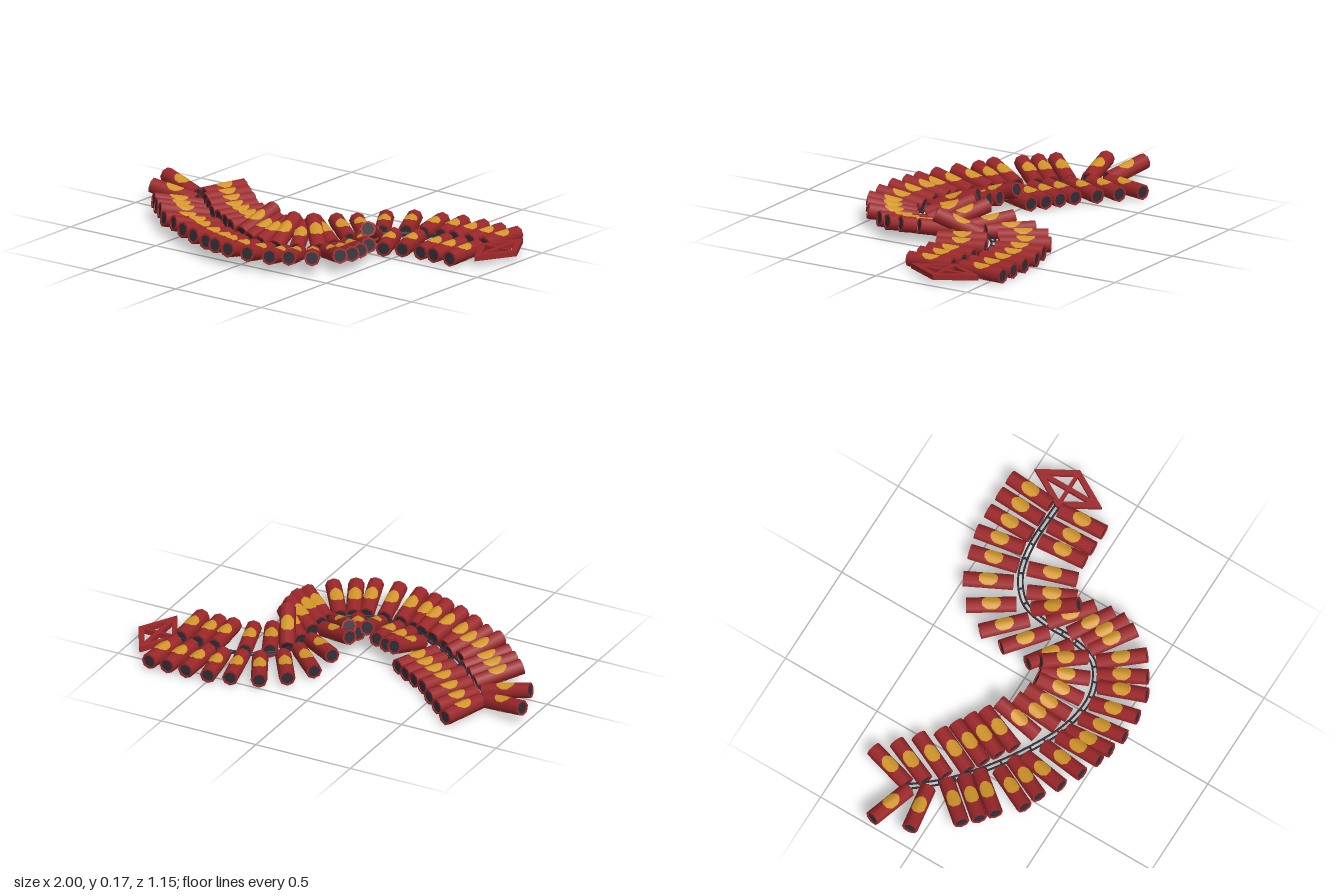
import * as THREE from 'three';

const LENGTH = 0.235, RADIUS = 0.0385, CORE = 0.029, RECESS = 0.005, CORD_Y = 0.042;

const mat = (name, color, extra = {}) => {
  const m = new THREE.MeshStandardMaterial({ color, ...extra });
  m.name = name;
  return m;
};

// Eight-sided paper tube along z with recessed ends (doubled points keep the rims crisp)
function tubeGeometry() {
  const h = LENGTH / 2;
  const profile = [
    [CORE, RECESS - h], [CORE, -h], [CORE, -h], [RADIUS, -h], [RADIUS, -h],
    [RADIUS, h], [RADIUS, h], [CORE, h], [CORE, h], [CORE, h - RECESS],
  ].map(p => new THREE.Vector2(...p));
  return new THREE.LatheGeometry(profile, 8).rotateX(Math.PI / 2);
}

// Rounded gold patch folded over the upper faces of the tube
function patchGeometry() {
  const r = RADIUS + 0.0015, corner = r * Math.SQRT1_2, slope = Math.tan(Math.PI / 8);
  const columns = [[-0.031, 0.03], [-corner, 0.052], [-0.015, 0.084], [0, 0.09], [0.015, 0.084], [corner, 0.052], [0.031, 0.03]];
  const g = new THREE.PlaneGeometry(1, 1, 6, 1).rotateX(-Math.PI / 2);
  const p = g.attributes.position;
  for (let i = 0; i < p.count; i++) {
    const [x, len] = columns[i % 7];
    const y = Math.min(r - Math.abs(x) * slope, corner - (Math.abs(x) - corner) / slope);
    p.setXYZ(i, x, y, Math.sign(p.getZ(i)) * len / 2);
  }
  g.computeVertexNormals();
  return g;
}

// Runs of crackers: [outer end x, outer end z, heading in degrees (0 = front), outer end height]
const runs = {
  backRight: [
    [0.798, -0.572, 176], [0.704, -0.572, 178], [0.605, -0.572, 180], [0.49, -0.566, 190], [0.387, -0.539, 194],
    [0.257, -0.495, 207], [0.151, -0.414, 213], [0.075, -0.292, 226], [0.051, -0.161, 233, 0.07],
  ],
  innerBend: [
    [0.04, -0.01, 240, 0.1], [0.07, 0.04, 225, 0.125], [0.035, 0.06, 208, 0.09], [-0.01, 0.07, 192, 0.125],
    [-0.07, 0.05, 182, 0.09], [-0.13, 0.03, 178, 0.085], [-0.2, -0.02, 174, 0.115],
  ],
  backLeft: [
    [-0.245, -0.07, 158], [-0.307, -0.113, 157], [-0.372, -0.15, 156],
    [-0.44, -0.19, 155], [-0.515, -0.265, 155], [-0.595, -0.335, 157], [-0.68, -0.41, 164],
  ],
  tail: [[-0.99, -0.225, -105, 0.085], [-0.94, -0.05, -80, 0.085]],
  frontLeft: [
    [-0.79, 0.14, -41, 0.085], [-0.73, 0.2, -41, 0.085], [-0.67, 0.25, -40, 0.085], [-0.57, 0.35, -28, 0.085],
    [-0.49, 0.38, -27, 0.085], [-0.39, 0.44, -12, 0.085], [-0.29, 0.49, -10, 0.085], [-0.19, 0.525, -4, 0.085],
  ],
  outerBend: [
    [-0.12, 0.545, 2, 0.085], [-0.03, 0.565, 3, 0.085], [0.085, 0.565, 10, 0.085], [0.2, 0.545, 17, 0.085],
    [0.28, 0.5, 25, 0.085], [0.37, 0.44, 36, 0.085], [0.45, 0.33, 53, 0.085], [0.475, 0.27, 58, 0.085],
    [0.47, 0.2, 55, 0.085], [0.45, 0.11, 48, 0.085], [0.4, 0.05, 28, 0.14],
  ],
  frontRight: [[0.455, 0.005, 25], [0.53, -0.04, 18], [0.625, -0.055, 5], [0.70, -0.055, 2], [0.795, -0.055, 3]],
};

export function createModel() {
  const model = new THREE.Group();
  model.name = 'firecrackerString';
  const red = mat('red paper', 0x9c272a);
  const gold = mat('gold patch', 0xd2962a, { side: THREE.DoubleSide });
  const dark = mat('dark fuse', 0x2e2d36);

  // Firecrackers: inner end at the cord, outer end raised
  const tube = tubeGeometry(), patch = patchGeometry(), core = new THREE.CircleGeometry(CORE, 8);
  for (const [runName, run] of Object.entries(runs)) {
    const group = new THREE.Group();
    group.name = runName + 'Crackers';
    for (const [x, z, deg, y = CORD_Y] of run) {
      const a = deg * Math.PI / 180, pitch = Math.asin((y - CORD_Y) / LENGTH);
      const dir = new THREE.Vector3(Math.sin(a) * Math.cos(pitch), Math.sin(pitch), Math.cos(a) * Math.cos(pitch));
      const cracker = new THREE.Group();
      cracker.name = 'cracker';
      const outer = new THREE.Vector3(x, y, z);
      cracker.position.copy(outer).addScaledVector(dir, -LENGTH / 2);
      cracker.lookAt(outer);
      const body = new THREE.Mesh(tube, red);
      body.name = 'paperTube';
      cracker.add(body);
      for (const side of [0, 1]) {
        // Gold patch above and below, dark plug in each end
        const label = new THREE.Mesh(patch, gold);
        label.name = 'goldPatch';
        label.rotation.z = side * Math.PI;
        const plug = new THREE.Mesh(core, dark);
        plug.name = 'endPlug';
        plug.rotation.y = side * Math.PI;
        plug.position.z = (1 - 2 * side) * (LENGTH / 2 - RECESS);
        cracker.add(label, plug);
      }
      group.add(cracker);
    }
    model.add(group);
  }

  // Double fuse cord with short cross ties
  const path = new THREE.CatmullRomCurve3([
    [0.8, -0.31], [0.55, -0.31], [0.4, -0.27], [0.3, -0.18], [0.27, -0.05], [0.265, 0.1], [0.22, 0.24],
    [0.08, 0.315], [-0.1, 0.3], [-0.3, 0.21], [-0.5, 0.08], [-0.65, -0.05], [-0.76, -0.18],
  ].map(([x, z]) => new THREE.Vector3(x, CORD_Y, z)));
  const offset = (t, d) => {
    const n = path.getTangentAt(t);
    return path.getPointAt(t).add(new THREE.Vector3(-n.z * d, 0, n.x * d));
  };
  for (const d of [-0.011, 0.011]) {
    const points = Array.from({ length: 41 }, (_, i) => offset(i / 40, d));
    const strand = new THREE.Mesh(new THREE.TubeGeometry(new THREE.CatmullRomCurve3(points), 120, 0.005, 6), dark);
    strand.name = 'fuseStrand';
    model.add(strand);
  }
  for (let i = 0; i <= 28; i++) {
    const tie = new THREE.Mesh(new THREE.BoxGeometry(0.008, 0.008, 0.024), dark);
    tie.name = 'fuseTie';
    tie.position.copy(path.getPointAt(i / 28));
    tie.lookAt(offset(i / 28, 0.1));
    model.add(tie);
  }

  // Diamond handle with a cross inside
  const W = 0.105, H = 0.185;
  const diamond = new THREE.Shape([[W, 0], [0, H], [-W, 0], [0, -H]].map(p => new THREE.Vector2(...p)));
  for (const sx of [-1, 1]) for (const sy of [-1, 1]) {
    diamond.holes.push(new THREE.Path([[0.011, 0.008], [0.07, 0.008], [0.011, 0.112]]
      .map(([x, y]) => new THREE.Vector2(sx * x, sy * y))));
  }
  const handle = new THREE.Mesh(
    new THREE.ExtrudeGeometry(diamond, { depth: 0.025, bevelEnabled: false }).rotateX(-Math.PI / 2), red);
  handle.name = 'diamondHandle';
  handle.position.set(0.89, 0.03, -0.31);
  model.add(handle);
  return model;
}
